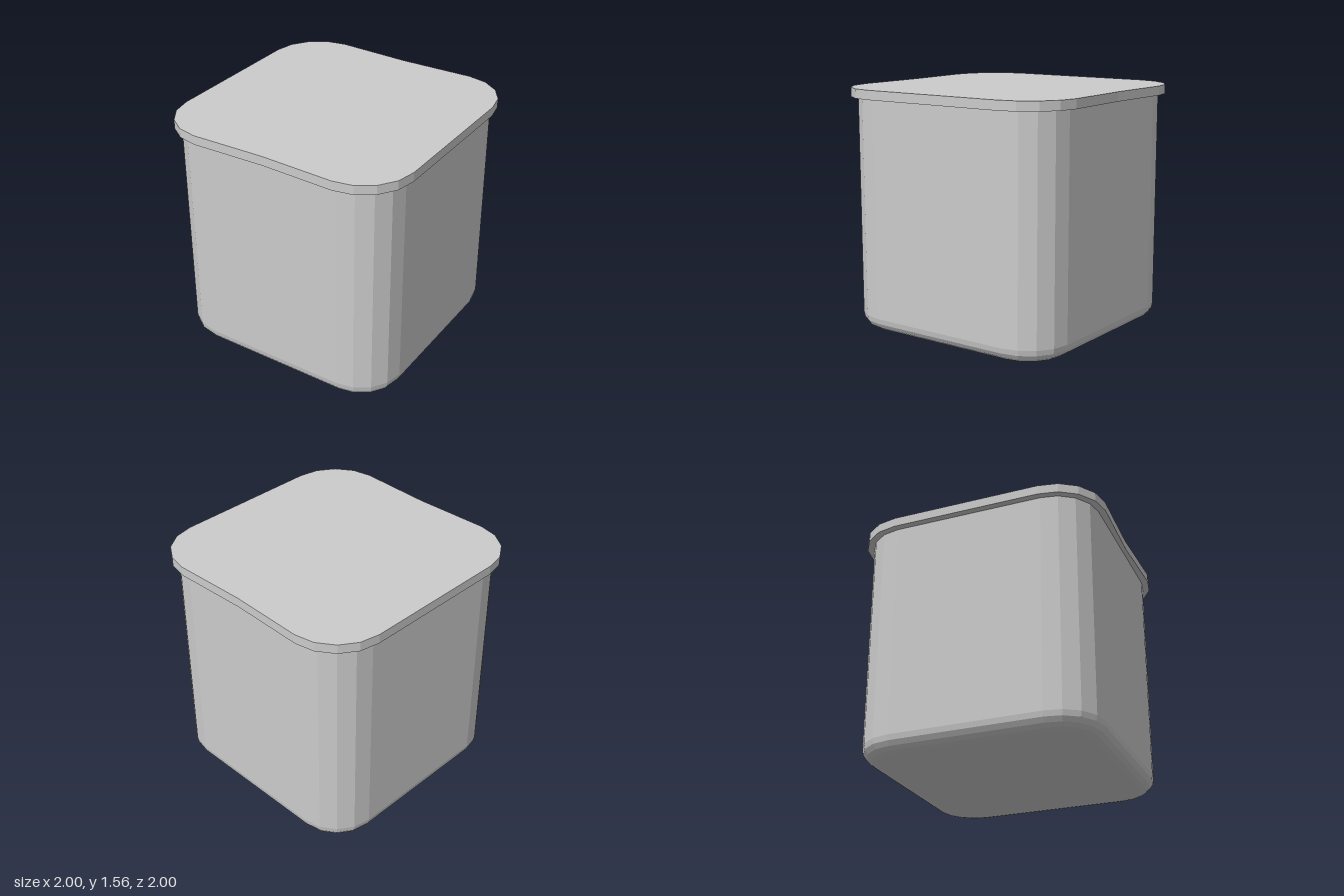
import * as THREE from 'three';

const TURN = Math.atan2(2, 3); // the box stands turned about the vertical axis
const CORE = 0.488;            // half side of the square through the corner centres
const CORNER_STEPS = 4;

// Rounded square outline; dent pulls the middle of two opposite sides inward
function outline(radius, dent = 0) {
  const points = [];
  for (let k = 0; k < 4; k++) {
    const start = TURN + k * Math.PI / 2;
    const diagonal = start + Math.PI / 4;
    const cx = CORE * Math.SQRT2 * Math.cos(diagonal);
    const cz = CORE * Math.SQRT2 * Math.sin(diagonal);
    for (let i = 0; i <= CORNER_STEPS; i++) {
      const a = start + (i / CORNER_STEPS) * Math.PI / 2;
      points.push([cx + radius * Math.cos(a), cz + radius * Math.sin(a)]);
    }
    if (dent && k % 2 === 0) {
      const a = start + Math.PI / 2;
      const d = CORE + radius - dent;
      points.push([d * Math.cos(a), d * Math.sin(a)]);
    }
  }
  return points;
}

// Closed solid through a stack of outlines, each level being [radius, y]
function loft(levels, dent) {
  const positions = [];
  const index = [];
  const n = outline(1, dent).length;
  for (const [radius, y] of levels) {
    for (const [x, z] of outline(radius, dent)) positions.push(x, y, z);
  }
  const top = levels.length - 1;
  const bottomCentre = n * levels.length;
  positions.push(0, levels[0][1], 0, 0, levels[top][1], 0);
  for (let i = 0; i < n; i++) {
    const next = (i + 1) % n;
    for (let j = 0; j < top; j++) {
      const a = j * n + i, b = j * n + next;
      index.push(a, a + n, b, b, a + n, b + n);
    }
    index.push(bottomCentre, i, next);
    index.push(bottomCentre + 1, top * n + next, top * n + i);
  }
  const geometry = new THREE.BufferGeometry();
  geometry.setAttribute('position', new THREE.Float32BufferAttribute(positions, 3));
  geometry.setIndex(index);
  geometry.computeVertexNormals();
  return geometry;
}

export function createModel() {
  const group = new THREE.Group();
  group.name = 'container';
  const material = new THREE.MeshStandardMaterial({ color: 0xcccccc, flatShading: true });

  // Body with a rounded bottom edge
  const bevel = 0.09;
  const levels = [];
  for (let i = 0; i <= 4; i++) {
    const a = (i / 4) * Math.PI / 2;
    levels.push([0.285 - bevel * (1 - Math.sin(a)), bevel * (1 - Math.cos(a))]);
  }
  levels.push([0.285, 1.5]);
  const body = new THREE.Mesh(loft(levels), material);
  body.name = 'body';

  // Overhanging flat lid
  const lid = new THREE.Mesh(loft([[0.33, 1.5], [0.33, 1.56]], 0.016), material);
  lid.name = 'lid';

  group.add(body, lid);
  return group;
}
